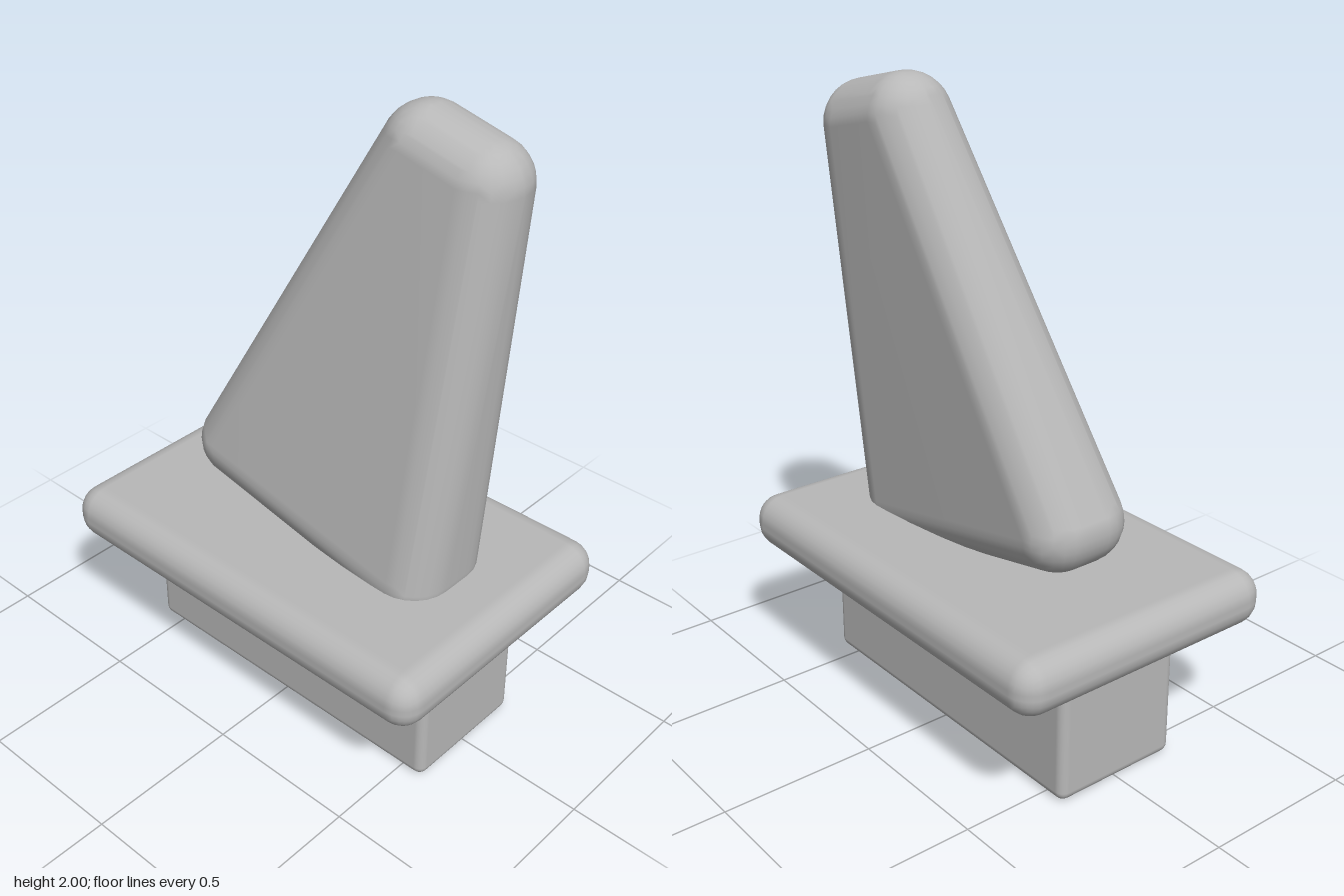
import * as THREE from 'three';
import { mergeVertices } from 'three/addons/utils/BufferGeometryUtils.js';
import { RoundedBoxGeometry } from 'three/addons/geometries/RoundedBoxGeometry.js';
import { ConvexGeometry } from 'three/addons/geometries/ConvexGeometry.js';

// Smooth solid stretched around equal balls placed at the given centres
function roundedHull(centres, radius) {
  const ball = new THREE.SphereGeometry(radius, 24, 16).attributes.position;
  const points = [];
  for (const c of centres) {
    for (let i = 0; i < ball.count; i++) {
      points.push(new THREE.Vector3().fromBufferAttribute(ball, i).add(c));
    }
  }
  const hull = new ConvexGeometry(points);
  hull.deleteAttribute('normal');
  const smooth = mergeVertices(hull, 1e-5);
  smooth.computeVertexNormals();
  return smooth;
}

export function createModel() {
  const model = new THREE.Group();
  model.name = 'paddleSwitch';
  const grey = new THREE.MeshStandardMaterial({ color: 0xb8b8b8 });
  grey.name = 'grey';

  const add = (name, geometry, y = 0) => {
    const mesh = new THREE.Mesh(geometry, grey);
    mesh.name = name;
    mesh.position.y = y;
    model.add(mesh);
  };

  // Block below the plate
  add('base', new RoundedBoxGeometry(1.166, 0.42, 0.44, 3, 0.03), 0.21);

  // Wide plate with soft edges
  add('plate', new RoundedBoxGeometry(1.43, 0.178, 0.935, 3, 0.08), 0.506);

  // Leaning, tapered paddle: x, y, front z and back z of each rounded corner
  const corners = [
    [-0.347, 0.755, 0.04, -0.05],
    [0.38, 0.61, 0.045, -0.06],
    [0.427, 1.825, -0.135, -0.146],
    [0.234, 1.87, -0.135, -0.146],
  ];
  const centres = corners.flatMap(([x, y, front, back]) => [
    new THREE.Vector3(x, y, front),
    new THREE.Vector3(x, y, back),
  ]);
  add('paddle', roundedHull(centres, 0.13));

  return model;
}
